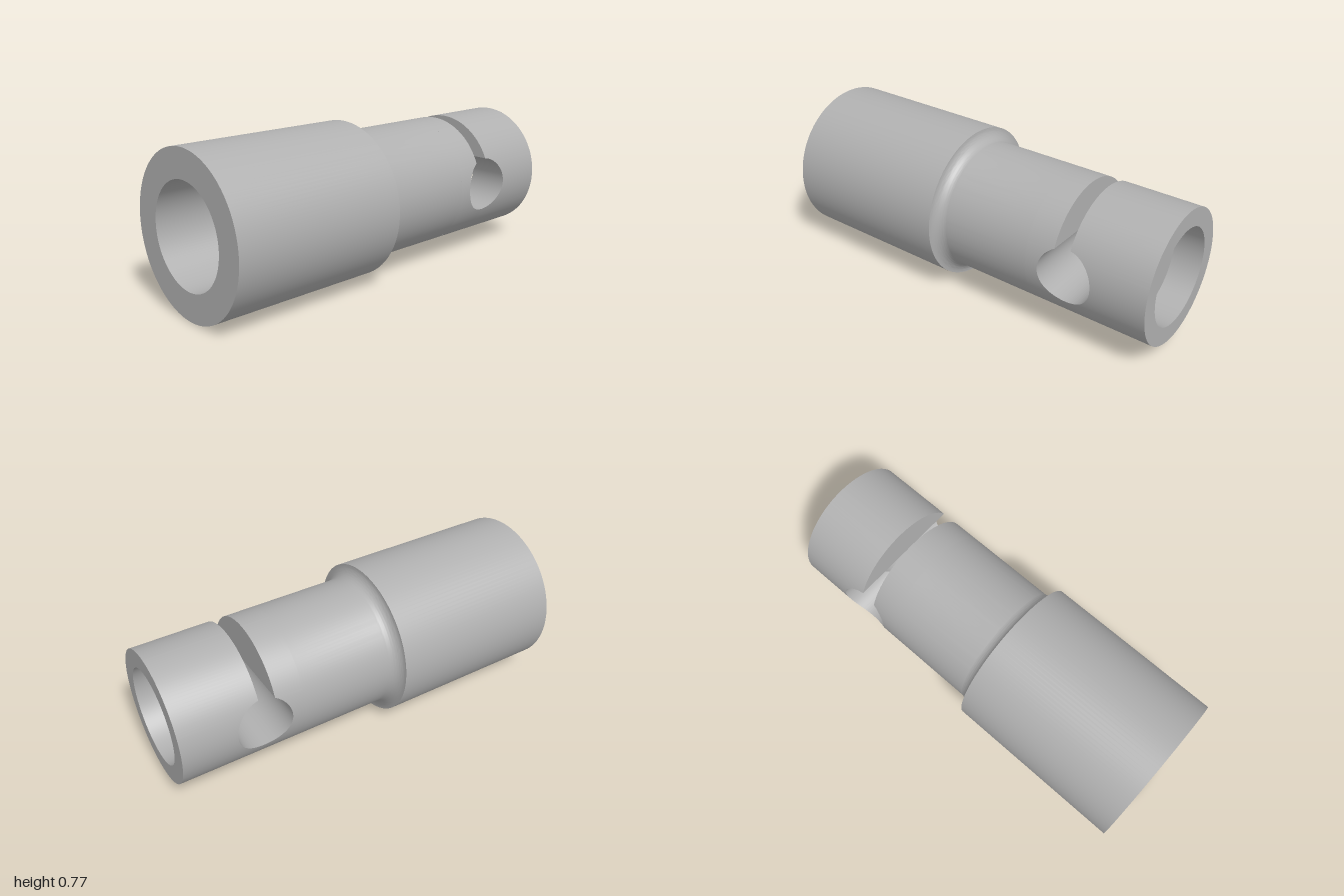
import * as THREE from 'three';
import { toCreasedNormals } from 'three/addons/utils/BufferGeometryUtils.js';

const BIG = 0.384;      // front barrel radius, also the axis height
const R = 0.323;        // rear shank radius
const HOLE = 0.136;     // cross hole radius
const HOLE_Z = -0.6;
const BORE = 0.117;     // small rear bore radius
const FLOOR_Z = -0.857; // counterbore floor
const JOIN_Z = -0.4;    // where the cut section meets the plain front section
const STEPS = 24;

const chord = (r, y) => Math.sqrt(Math.max(0, r * r - y * y));

// Samples fn over a span of angles
function arc(from, to, fn) {
  return Array.from({ length: STEPS + 1 }, (_, i) => fn(from + (to - from) * i / STEPS));
}

// [y, z] outline of one side of the keyhole cut, split into its stretches
function keyholeEdge(side, slot) {
  const top = Math.acos(slot / HOLE);
  const k = Math.asin(BORE / HOLE);
  const onHole = a => [HOLE * Math.sin(a), HOLE_Z + side * HOLE * Math.cos(a)];
  return {
    below: arc(-Math.PI / 2, -Math.asin(HOLE / R), a => [R * Math.sin(a), HOLE_Z]),
    low: arc(-Math.PI / 2, -k, onHole),
    mid: arc(-k, k, onHole),
    high: arc(k, top, onHole),
    slot: arc(Math.asin(HOLE * Math.sin(top) / R), Math.PI / 2, a => [R * Math.sin(a), HOLE_Z + side * slot]),
  };
}

// Ruled surface between two curves, made on both sides of x = 0
function ruledPair(group, name, material, points, curveA, curveB) {
  for (const sx of [1, -1]) {
    const pos = [], index = [];
    points.forEach((p, i) => {
      for (const [x, y, z] of [curveA(p), curveB(p)]) pos.push(sx * x, y, z);
      if (i === 0) return;
      const a = 2 * i - 2, b = a + 1, c = a + 2, d = a + 3;
      if (sx > 0) index.push(a, c, b, b, c, d);
      else index.push(a, b, c, b, d, c);
    });
    const geo = new THREE.BufferGeometry();
    geo.setAttribute('position', new THREE.Float32BufferAttribute(pos, 3));
    geo.setIndex(index);
    const mesh = new THREE.Mesh(toCreasedNormals(geo, 0.5), material);
    mesh.name = name + (sx > 0 ? 'Left' : 'Right');
    group.add(mesh);
  }
}

// Turned part along z from [radius, z] points
function turned(group, name, material, profile) {
  const geo = new THREE.LatheGeometry(profile.map(p => new THREE.Vector2(...p)), 128);
  geo.rotateX(Math.PI / 2);
  const mesh = new THREE.Mesh(toCreasedNormals(geo, 0.5), material);
  mesh.name = name;
  group.add(mesh);
}

export function createModel() {
  const model = new THREE.Group();
  model.name = 'turnedCoupling';
  const steel = new THREE.MeshStandardMaterial({ color: 0xb0b0b0 });
  steel.name = 'grey steel';
  steel.side = THREE.DoubleSide;

  const body = new THREE.Group();
  body.name = 'body';
  body.position.y = BIG;
  model.add(body);

  // Barrel with blind front bore, filleted down to the shank
  const f = BIG - R;
  turned(body, 'barrel', steel, [
    [R, JOIN_Z],
    ...arc(0, Math.PI / 2, a => [BIG - f * Math.cos(a), 0.113 - f + f * Math.sin(a)]),
    [BIG, 1], [0.246, 1], [0.246, 0], [0, 0],
  ]);

  // Rear end face and counterbore
  turned(body, 'rearCounterbore', steel, [[BORE, FLOOR_Z], [0.234, FLOOR_Z], [0.234, -1], [R, -1]]);

  // Shank skin either side of the keyhole cut
  const front = keyholeEdge(1, 0.063);
  const rear = keyholeEdge(-1, 0.015);
  const all = e => [...e.below, ...e.low, ...e.mid, ...e.high, ...e.slot];
  const wall = e => [...e.low, ...e.mid, ...e.high, ...e.slot];
  const skin = ([y, z]) => [chord(R, y), y, z];
  ruledPair(body, 'shankFront', steel, all(front), skin, ([y]) => skin([y, JOIN_Z]));
  ruledPair(body, 'shankRear', steel, all(rear), ([y]) => skin([y, -1]), skin);

  // Walls of the cross hole and slot; the rear wall is pierced by the small bore
  ruledPair(body, 'keyholeFrontWall', steel, wall(front), ([y, z]) => [0, y, z], skin);
  const boreRim = ([y, z]) => [chord(BORE, y), y, z];
  ruledPair(body, 'keyholeRearWall', steel, wall(rear), skin, boreRim);

  // Small bore from the counterbore floor into the cross hole
  const borePoints = arc(-Math.PI / 2, Math.PI / 2, a => {
    const y = BORE * Math.sin(a);
    return [y, HOLE_Z - chord(HOLE, y)];
  });
  ruledPair(body, 'smallBore', steel, borePoints, boreRim, ([y]) => boreRim([y, FLOOR_Z]));

  return model;
}
